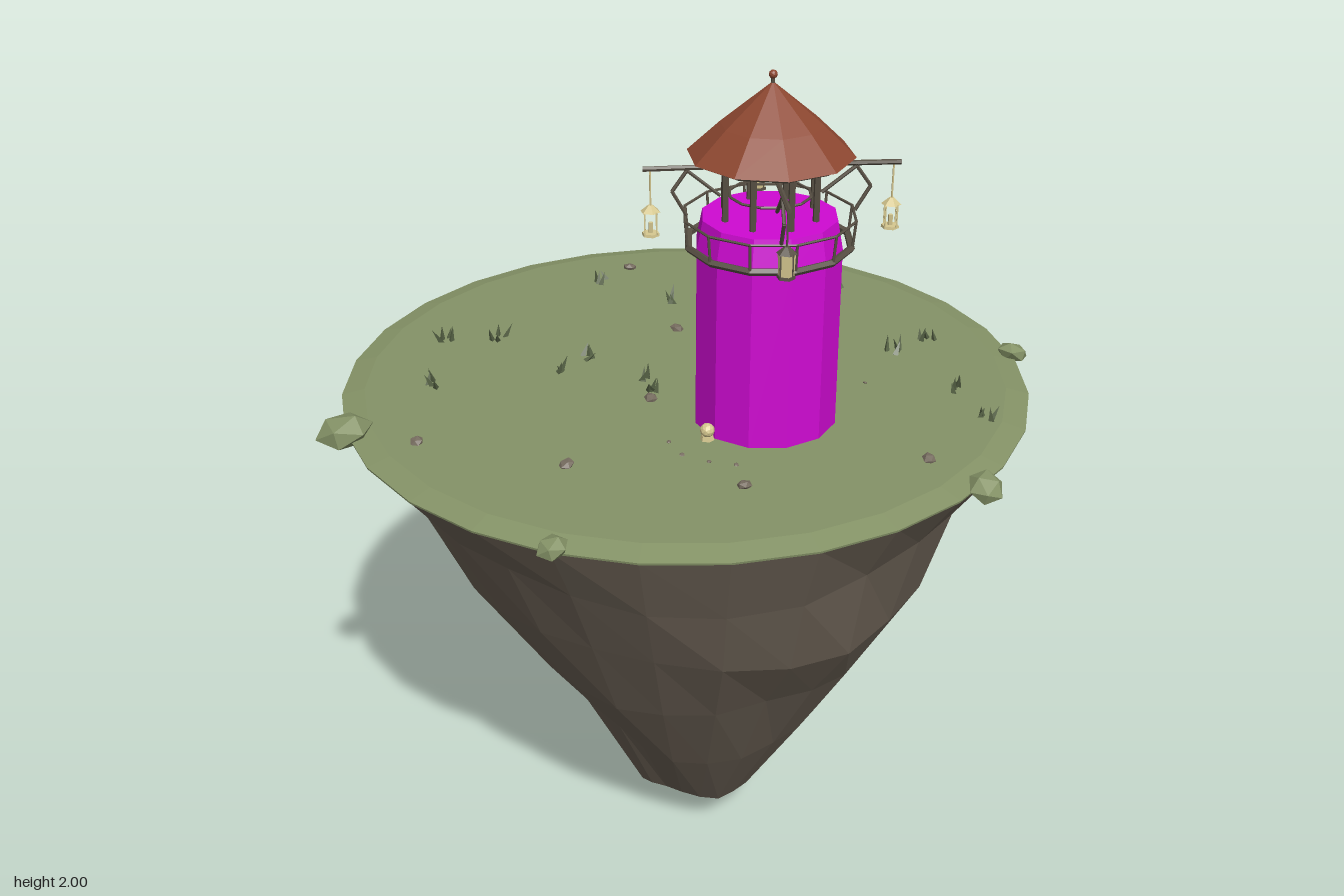
import * as THREE from 'three';

const mat = (name, color, side = THREE.FrontSide) => {
  const m = new THREE.MeshStandardMaterial({ color, flatShading: true, side });
  m.name = name;
  return m;
};

export function createModel() {
  const root = new THREE.Group();
  root.name = 'floatingIslandTower';
  const M = {
    grass: mat('grass', 0x859367),
    blade: mat('grassBlade', 0x566245, THREE.DoubleSide),
    rock: mat('rock', 0x6a6054),
    boulder: mat('boulder', 0x756b5e),
    tower: mat('towerMagenta', 0xcf0ad2),
    roof: mat('roofClay', 0x8e4831),
    metal: mat('darkMetal', 0x585044),
    glass: mat('lampCream', 0xd6c890),
  };
  let seed = 11;
  const rand = () => ((seed = (seed * 16807) % 2147483647) / 2147483647);
  const jit = (a) => (rand() - 0.5) * 2 * a;

  const add = (parent, name, geo, material, x = 0, y = 0, z = 0) => {
    const m = new THREE.Mesh(geo, material);
    m.name = name;
    m.position.set(x, y, z);
    parent.add(m);
    return m;
  };
  // straight round bar between two points
  const bar = (parent, name, a, b, r, material = M.metal, sides = 6) => {
    const A = new THREE.Vector3(...a), B = new THREE.Vector3(...b);
    const dir = B.clone().sub(A);
    const m = add(parent, name, new THREE.CylinderGeometry(r, r, dir.length(), sides), material);
    m.position.copy(A).add(B).multiplyScalar(0.5);
    m.quaternion.setFromUnitVectors(new THREE.Vector3(0, 1, 0), dir.normalize());
  };
  const stone = (name, material, x, y, z, r, sy) => {
    const m = add(root, name, new THREE.IcosahedronGeometry(r, 0), material, x, y, z);
    m.scale.set(1 + jit(0.12), sy, 1 + jit(0.12));
    m.rotation.set(jit(0.4), jit(3), jit(0.4));
  };

  // ---- Rock cone: rings of height, radius toward +x, +z, -x, -z, diagonal bulge, waviness
  const N = 28, CX = -0.03;
  const rings = [
    [1.222, 0.784, 0.784, 0.784, 0.784, 0, 0],
    [1.06, 0.69, 0.675, 0.67, 0.695, 0.025, 1],
    [0.86, 0.63, 0.58, 0.585, 0.61, 0.035, 1],
    [0.645, 0.51, 0.45, 0.485, 0.52, 0.035, 1],
    [0.395, 0.37, 0.305, 0.35, 0.385, 0.025, 1],
    [0.135, 0.205, 0.175, 0.17, 0.175, 0.015, 0.6],
    [0, 0, 0, 0, 0, 0, 0],
  ].map(([y, px, pz, nx, nz, q, w], k) => Array.from({ length: N }, (_, i) => {
    const a = (i / N) * Math.PI * 2, c = Math.cos(a), s = Math.sin(a);
    const r = (c > 0 ? px : nx) * c * c + (s > 0 ? pz : nz) * s * s + 2 * q * c * s + w * jit(0.007);
    return [CX + k * 0.003 + r * c, y + w * (0.018 * Math.sin(4 * a + k * 2) + jit(0.006)), r * s];
  }));
  const rockPos = [], mossPos = [];
  const quad = (out, a, b, c, d) => out.push(...d, ...a, ...b, ...d, ...b, ...c);
  const lerp = (p, q, t) => p.map((v, i) => v + (q[i] - v) * t);
  for (let k = 0; k < rings.length - 1; k++) for (let i = 0; i < N; i++) {
    const n = (i + 1) % N;
    const a = rings[k][i], b = rings[k][n], c = rings[k + 1][n], d = rings[k + 1][i];
    if (k === 1 && i === 9) { // one partly mossy face
      const top = lerp(a, b, 0.55), low = lerp(d, c, 0.6);
      quad(mossPos, a, top, low, d);
      quad(rockPos, top, b, c, low);
    } else if (k === rings.length - 2) rockPos.push(...d, ...a, ...b);
    else quad(rockPos, a, b, c, d);
  }
  const soup = (p) => {
    const g = new THREE.BufferGeometry();
    g.setAttribute('position', new THREE.Float32BufferAttribute(p, 3));
    g.computeVertexNormals();
    return g;
  };
  add(root, 'islandRock', soup(rockPos), M.rock);
  add(root, 'mossPatch', soup(mossPos), M.grass);

  // ---- Grass cap with sloping rim
  add(root, 'grassTop', new THREE.LatheGeometry(
    [[0.784, 1.218], [0.785, 1.223], [0.733, 1.235], [0, 1.235]].map((p) => new THREE.Vector2(...p)), N), M.grass, CX);

  // ---- Boulders on the rim and on the cliff
  [[-0.44, -0.68, 0.042], [0.44, -0.63, 0.039], [0.765, -0.07, 0.042], [0.31, 0.7, 0.038], [-0.36, 0.715, 0.062]]
    .forEach(([x, z, r]) => stone('rimBoulder', M.grass, x, 1.23, z, r, 0.62));
  [[-0.45, 0.715, 0.29], [-0.365, 0.665, -0.355]].forEach(([x, y, z]) => {
    const b = add(root, 'cliffBoulder', new THREE.IcosahedronGeometry(0.085, 1), M.boulder, x, y, z);
    b.scale.set(0.92, 1.15, 0.92);
    b.rotation.y = x * 3;
  });

  // ---- Pebbles, gravel and grass tufts
  [[-0.21, -0.15], [0.62, -0.07], [0.42, 0.28], [0.1, 0.48], [-0.2, 0.64], [-0.57, -0.33], [0.01, 0.15]]
    .forEach(([x, z]) => stone('pebble', M.boulder, x, 1.238, z, 0.017, 0.6));
  [[0.3, 0.26], [0.24, 0.28], [0.35, 0.23], [0.18, 0.26], [0.12, -0.16], [0.3, -0.25]]
    .forEach(([x, z]) => stone('gravel', M.boulder, x, 1.236, z, 0.006, 0.4));
  [[-0.23, -0.65], [-0.1, -0.61], [0.26, -0.53], [0.24, -0.43], [-0.25, -0.37], [-0.34, -0.26], [-0.56, -0.22],
    [-0.16, -0.2], [0.47, -0.37], [0.6, -0.31], [-0.25, 0.11], [-0.08, 0.09], [-0.01, 0.13], [-0.25, 0.2],
    [-0.48, 0.19], [-0.56, 0.28], [-0.39, 0.45]].forEach(([x, z]) => {
    const tuft = new THREE.Group();
    tuft.name = 'grassTuft';
    tuft.position.set(x, 1.233, z);
    root.add(tuft);
    for (let i = 0; i < 4; i++) {
      const h = 0.026 + rand() * 0.018;
      const g = new THREE.ConeGeometry(0.008, h, 3).translate(0, h / 2, 0);
      const b = add(tuft, 'blade', g, M.blade, jit(0.018), 0, jit(0.018));
      b.rotation.set(jit(0.6), jit(3), jit(0.6));
    }
  });

  // ---- Tower: twelve sided wall
  const tower = new THREE.Group();
  tower.name = 'tower';
  tower.position.set(0.239, 0, 0.023);
  root.add(tower);
  const drum = (name, rt, rb, y0, y1, sides, material) =>
    add(tower, name, new THREE.CylinderGeometry(rt, rb, y1 - y0, sides), material, 0, (y0 + y1) / 2, 0);
  drum('towerWall', 0.155, 0.157, 1.225, 1.64, 12, M.tower);
  drum('towerParapet', 0.143, 0.155, 1.64, 1.7, 12, M.tower);

  // ---- Gallery: bands, top rail and short posts
  const ring = (name, r, y, t, sides) => {
    const m = add(tower, name, new THREE.TorusGeometry(r, t, 5, sides), M.metal, 0, y, 0);
    m.rotation.x = -Math.PI / 2;
  };
  ring('galleryBand', 0.172, 1.643, 0.008, 12);
  ring('galleryRail', 0.18, 1.702, 0.003, 12);
  ring('lampRoomRail', 0.085, 1.745, 0.003, 12);
  ring('eavesRing', 0.15, 1.825, 0.005, 10);
  for (let i = 0; i < 12; i++) {
    const a = (i / 12) * Math.PI * 2, c = Math.cos(a), s = Math.sin(a);
    bar(tower, 'railPost', [c * 0.174, 1.64, s * 0.174], [c * 0.18, 1.704, s * 0.18], 0.003);
    bar(tower, 'rafter', [c * 0.02, 1.827, s * 0.02], [c * 0.15, 1.827, s * 0.15], 0.004);
  }
  // lamp room columns
  for (let i = 0; i < 8; i++) {
    const a = ((i + 0.5) / 8) * Math.PI * 2, c = Math.cos(a) * 0.1, s = Math.sin(a) * 0.1;
    bar(tower, 'column', [c, 1.695, s], [c, 1.83, s], 0.007);
  }

  // ---- Ten sided roof with slight bend, and finial
  drum('roofEaves', 0.105, 0.172, 1.83, 1.892, 10, M.roof).rotation.y = Math.PI / 10;
  drum('roofPeak', 0.004, 0.105, 1.892, 1.974, 10, M.roof).rotation.y = Math.PI / 10;
  bar(tower, 'finialRod', [0, 1.965, 0], [0, 1.99, 0], 0.004);
  add(tower, 'finialBall', new THREE.IcosahedronGeometry(0.009, 1), M.roof, 0, 1.991, 0);

  // ---- Four arms with hanging lanterns: two glazed, two open cages
  [[-0.185, -0.165, false], [0.165, -0.19, true], [-0.155, 0.19, true], [0.19, 0.16, false]]
    .forEach(([x, z, open]) => {
      const at = (f, y) => [x * f, y, z * f];
      bar(tower, 'lanternArm', at(0.38, 1.806), at(1.06, 1.806), 0.0055);
      bar(tower, 'armBrace', at(0.7, 1.705), at(0.82, 1.757), 0.004);
      bar(tower, 'armBraceUpper', at(0.42, 1.745), at(0.72, 1.805), 0.004);
      bar(tower, 'armBraceOuter', at(0.82, 1.757), at(0.68, 1.806), 0.004);
      bar(tower, 'lanternCord', at(1, 1.806), at(1, 1.73), 0.002, open ? M.glass : M.metal);
      const lamp = new THREE.Group();
      lamp.name = open ? 'openLantern' : 'glazedLantern';
      lamp.position.set(x, 1.665, z);
      tower.add(lamp);
      const frame = open ? M.glass : M.metal;
      add(lamp, 'lanternBase', new THREE.CylinderGeometry(0.018, 0.019, 0.006, 6), frame, 0, 0.003, 0);
      add(lamp, 'lanternCap', new THREE.CylinderGeometry(0.005, 0.021, 0.014, 6), frame, 0, 0.058, 0);
      if (open) add(lamp, 'lanternCandle', new THREE.CylinderGeometry(0.005, 0.005, 0.022, 6), M.glass, 0, 0.017, 0);
      else add(lamp, 'lanternGlass', new THREE.CylinderGeometry(0.018, 0.016, 0.046, 6), M.glass, 0, 0.029, 0);
      for (let i = 0; i < 4; i++) {
        const c = Math.sin(i * Math.PI / 2) * 0.017, s = Math.cos(i * Math.PI / 2) * 0.017;
        bar(lamp, 'lanternFrame', [c, 0.004, s], [c, 0.053, s], 0.002, frame, 4);
      }
    });

  // ---- Small ground lamps at front and back of the tower
  [0.17, -0.17].forEach((z) => {
    add(tower, 'groundLampBase', new THREE.CylinderGeometry(0.013, 0.016, 0.012, 6), M.glass, -0.01, 1.24, z);
    add(tower, 'groundLamp', new THREE.IcosahedronGeometry(0.016, 1), M.glass, -0.01, 1.257, z);
  });

  return root;
}
